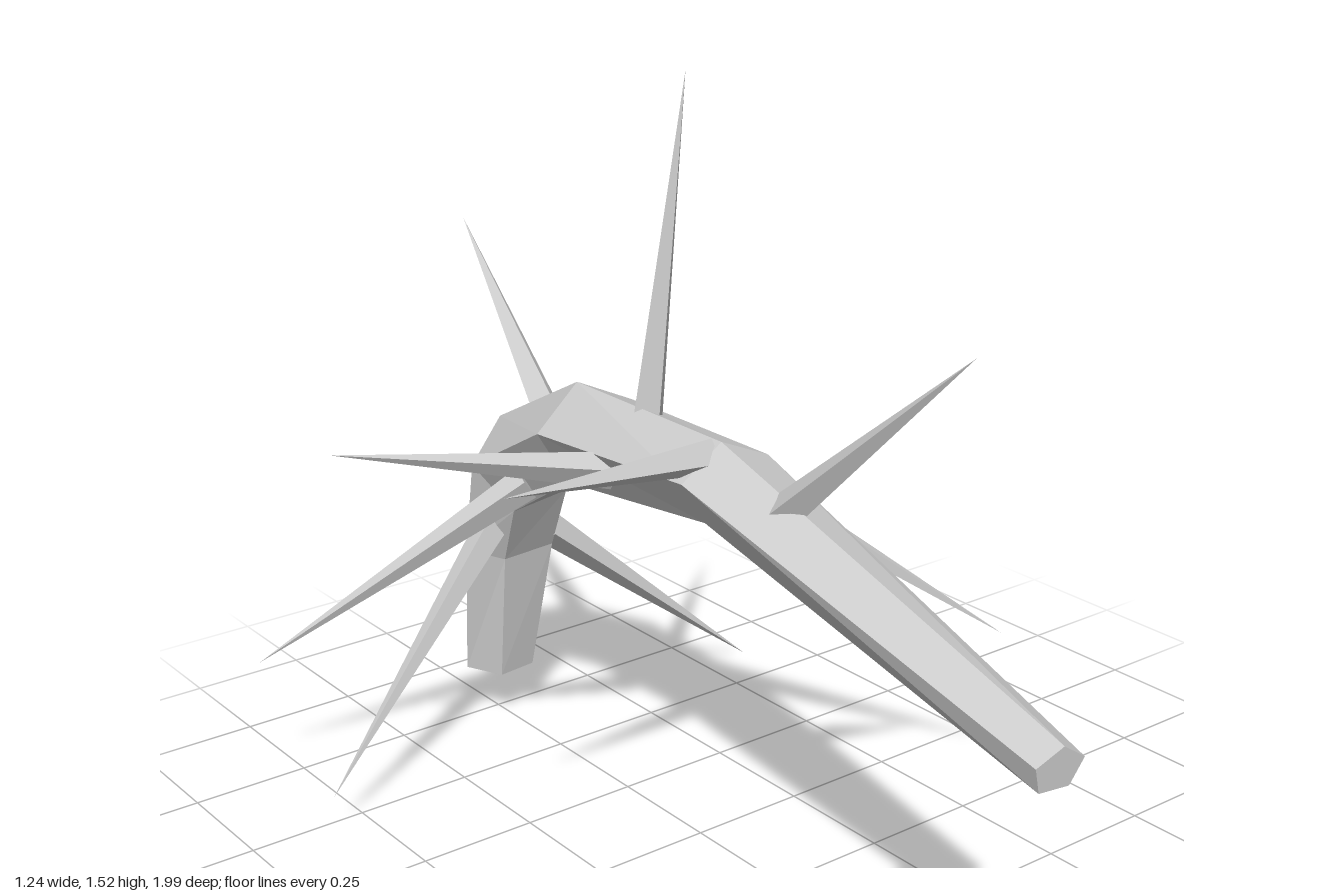
import * as THREE from 'three';

const material = new THREE.MeshStandardMaterial({ color: 0xcccccc, flatShading: true });
const SIDES = 5;

// One five-sided ring: centre, half width, half height, tilt down and phase in degrees
function ring([x, y, z, rx, ry, tilt, phase]) {
  const t = THREE.MathUtils.degToRad(tilt);
  return Array.from({ length: SIDES }, (_, i) => {
    const a = THREE.MathUtils.degToRad(phase + i * 360 / SIDES);
    const up = Math.sin(a) * ry;
    return [x + Math.cos(a) * rx, y + up * Math.cos(t), z - up * Math.sin(t)];
  });
}

// Arched stem lofted through its rings, closed at both ends
function stemGeometry() {
  const stations = [
    [-0.06, 0.58, 1.0, 0.061, 0.04, 0, 80],
    [-0.015, 0.797, 0.1, 0.11, 0.08, 4, 95],
    [0, 0.765, -0.37, 0.126, 0.108, 8, 97],
    [0.01, 0.62, -0.635, 0.122, 0.112, 32, 97],
    [0.018, 0.415, -0.70, 0.112, 0.065, 78, 97],
    [0, 0.115, -0.74, 0.077, 0.078, 90, 97],
  ];
  const positions = stations.flatMap(s => ring(s).flat());
  const index = [];
  for (let s = 0; s < stations.length - 1; s++) {
    for (let i = 0; i < SIDES; i++) {
      const j = (i + 1) % SIDES;
      const a = s * SIDES + i, b = s * SIDES + j;
      const c = a + SIDES, d = b + SIDES;
      index.push(a, c, b, b, c, d);
    }
  }
  const last = (stations.length - 1) * SIDES;
  for (let i = 1; i < SIDES - 1; i++) {
    index.push(0, i, i + 1);
    index.push(last, last + i + 1, last + i);
  }
  const indexed = new THREE.BufferGeometry();
  indexed.setAttribute('position', new THREE.Float32BufferAttribute(positions, 3));
  indexed.setIndex(index);
  const geometry = indexed.toNonIndexed();
  geometry.computeVertexNormals();
  return geometry;
}

// Slender four-sided thorn from a base point to its tip
function thorn(base, tip) {
  const from = new THREE.Vector3(...base);
  const dir = new THREE.Vector3(...tip).sub(from);
  const length = dir.length();
  const geometry = new THREE.ConeGeometry(0.037, length, 4);
  geometry.translate(0, length / 2, 0);
  const mesh = new THREE.Mesh(geometry, material);
  mesh.position.copy(from);
  mesh.quaternion.setFromUnitVectors(new THREE.Vector3(0, 1, 0), dir.normalize());
  mesh.name = 'thorn';
  return mesh;
}

export function createModel() {
  const group = new THREE.Group();
  group.name = 'thornyStem';

  const stem = new THREE.Mesh(stemGeometry(), material);
  stem.name = 'stem';
  group.add(stem);

  // Thorns as [base, tip]
  const thorns = [
    [[0.0, 0.83, -0.17], [0.075, 1.525, -0.14]],
    [[-0.035, 0.79, 0.28], [0.06, 1.16, 0.66]],
    [[0.04, 0.73, -0.565], [0.105, 1.08, -0.99]],
    [[-0.04, 0.845, 0.075], [-0.535, 0.895, 0.135]],
    [[-0.09, 0.76, -0.165], [-0.62, 0.865, -0.32]],
    [[-0.09, 0.645, -0.47], [-0.605, 0.295, -0.71]],
    [[-0.045, 0.5, -0.66], [-0.59, 0.085, -0.45]],
    [[0.085, 0.775, -0.085], [0.525, 0.41, 0.31]],
    [[0.1, 0.435, -0.675], [0.62, 0.0, -0.62]],
  ];
  for (const [base, tip] of thorns) group.add(thorn(base, tip));

  return group;
}
